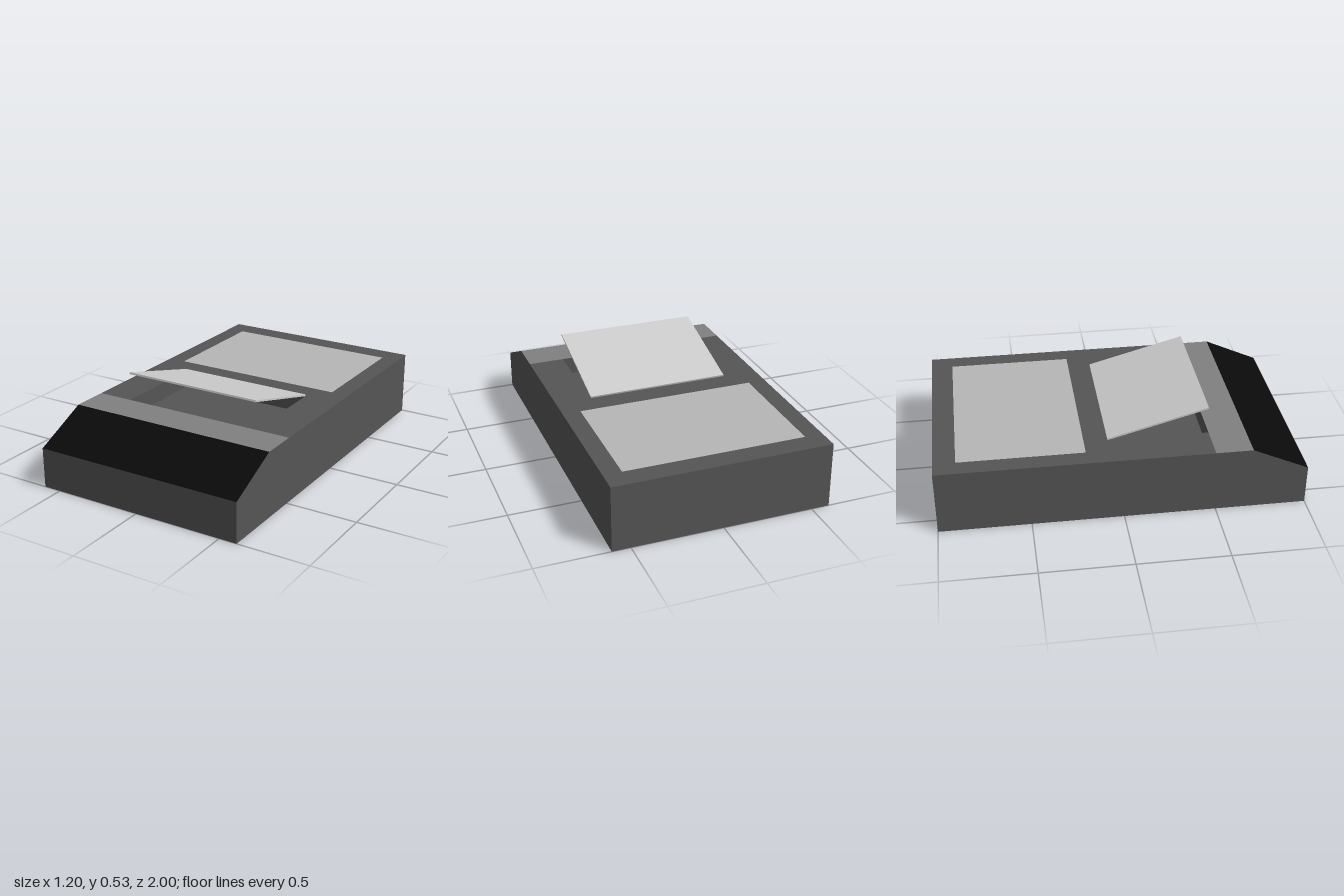
import * as THREE from 'three';

const W = 0.6, TOP = 0.367, LIP = 0.225;           // half width, deck height, front edge height
const BAND_BACK = 0.487, BAND_FRONT = 0.69;        // strip in front of the lid
const BAY = { x: 0.4, back: -0.065, front: BAND_BACK, floor: TOP - 0.1 };
const SCREEN = { x: 0.5, back: -0.88, front: -0.195 };

const grey = (color) => new THREE.MeshStandardMaterial({ color, flatShading: true });

// Mesh from convex polygons, corners counter-clockwise seen from outside
function shell(name, polygons, material) {
  const pos = [];
  for (const p of polygons)
    for (let i = 1; i < p.length - 1; i++) pos.push(...p[0], ...p[i], ...p[i + 1]);
  const geometry = new THREE.BufferGeometry();
  geometry.setAttribute('position', new THREE.Float32BufferAttribute(pos, 3));
  geometry.computeVertexNormals();
  const mesh = new THREE.Mesh(geometry, material);
  mesh.name = name;
  return mesh;
}

// Level rectangle facing up
const level = (x0, x1, z0, z1, y) => [[x0, y, z1], [x1, y, z1], [x1, y, z0], [x0, y, z0]];

// Upright or sloping face between two edges that span x, facing +z
const across = (x, yLow, zLow, yHigh, zHigh) =>
  [[-x, yLow, zLow], [x, yLow, zLow], [x, yHigh, zHigh], [-x, yHigh, zHigh]];

// Level frame around a rectangular opening
const frame = (z0, z1, hole) => [
  level(-W, -hole.x, z0, z1, TOP),
  level(hole.x, W, z0, z1, TOP),
  level(-hole.x, hole.x, z0, hole.back, TOP),
  ...(hole.front < z1 ? [level(-hole.x, hole.x, hole.front, z1, TOP)] : []),
];

export function createModel() {
  const model = new THREE.Group();
  model.name = 'flipLidDevice';
  const dark = grey(0x555555);

  // Casing: side profile, ends, underside and the deck around its openings
  const profile = [[0, 1], [0, -1], [TOP, -1], [TOP, BAND_FRONT], [LIP, 1]];
  const leftSide = profile.map(([y, z]) => [W, y, z]);
  const rightSide = profile.map(([y, z]) => [-W, y, z]).reverse();
  model.add(shell('casing', [
    leftSide, rightSide,
    across(W, 0, 1, LIP, 1),
    across(W, 0, -1, TOP, -1).reverse(),
    level(-W, W, -1, 1, 0).reverse(),
    ...frame(-1, -0.13, SCREEN),
    ...frame(-0.13, BAND_BACK, BAY),
  ], dark));

  // Recess under the lid
  const { x, back, front, floor } = BAY;
  const wall = [[floor, front], [floor, back], [TOP, back], [TOP, front]];
  model.add(shell('recess', [
    level(-x, x, back, front, floor),
    across(x, floor, back, TOP, back),
    across(x, floor, front, TOP, front).reverse(),
    wall.map(([y, z]) => [-x, y, z]),
    wall.map(([y, z]) => [x, y, z]).reverse(),
  ], dark));

  // Coloured areas of the upper surface
  model.add(shell('frontBand', [level(-W, W, BAND_BACK, BAND_FRONT, TOP)], grey(0x808080)));
  model.add(shell('frontSlope', [across(W, LIP, 1, TOP, BAND_FRONT)], grey(0x0a0a0a)));
  model.add(shell('screen', [level(-SCREEN.x, SCREEN.x, SCREEN.back, SCREEN.front, TOP)], grey(0xb6b6b6)));

  // Open lid, hinged along the back edge of the recess
  const length = 0.57, thickness = 0.01;
  const geometry = new THREE.BoxGeometry(2 * BAY.x, thickness, length);
  geometry.translate(0, thickness / 2, length / 2);
  const lid = new THREE.Mesh(geometry, grey(0xcccccc));
  lid.name = 'lid';
  lid.position.set(0, TOP, BAY.back);
  lid.rotation.x = -THREE.MathUtils.degToRad(15.4);
  model.add(lid);

  return model;
}
